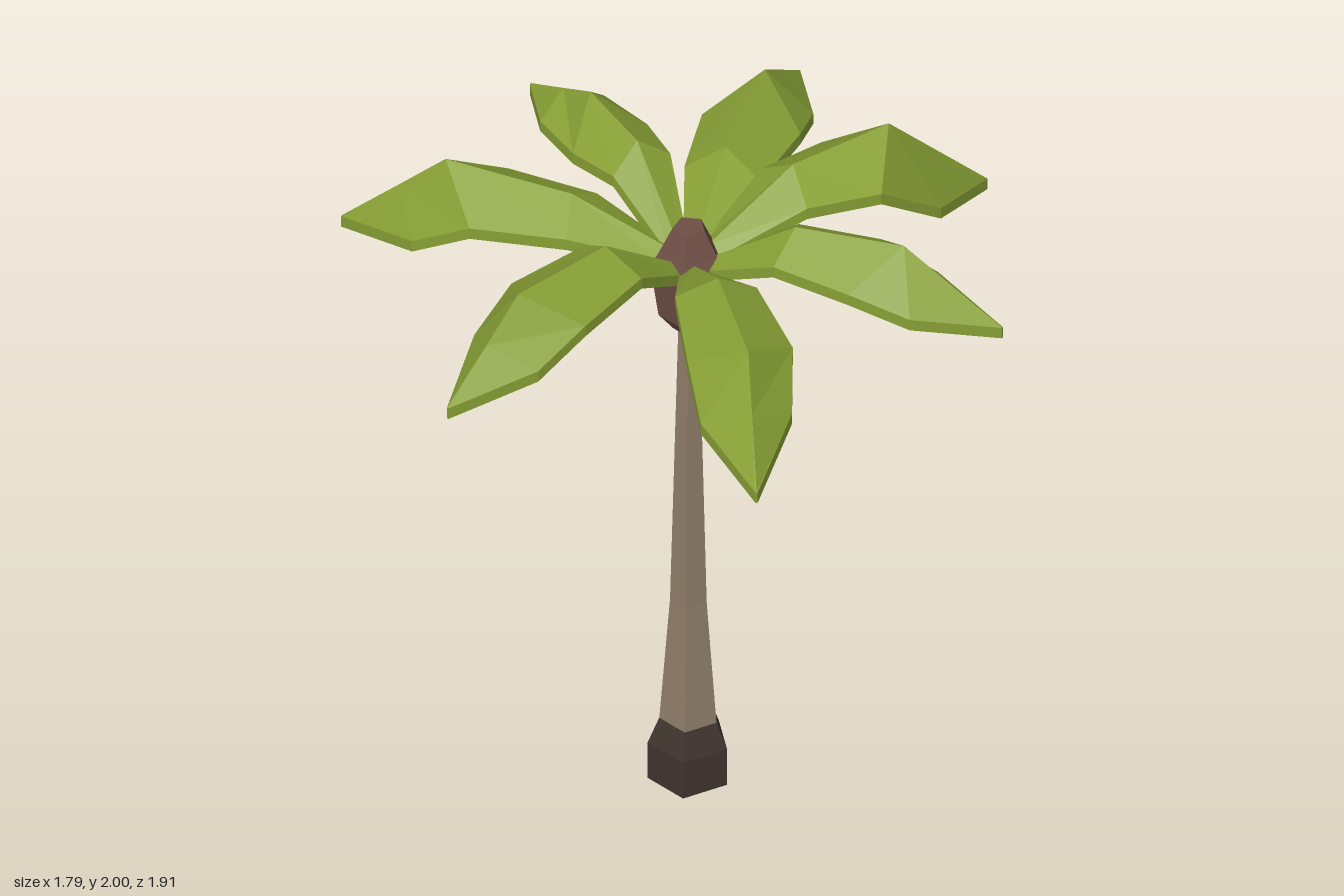
import * as THREE from 'three';

const AXIS_X = 0.053; // trunk axis
const THICK = 0.035; // leaf thickness

const material = (color) => new THREE.MeshStandardMaterial({ color, flatShading: true });

// Five-sided turned part from [radius, height] pairs, listed bottom to top
function turned(name, profile, mat) {
  const points = profile.map(([r, y]) => new THREE.Vector2(r, y));
  const mesh = new THREE.Mesh(new THREE.LatheGeometry(points, 5, Math.PI / 5 - 0.05), mat);
  mesh.name = name;
  mesh.position.x = AXIS_X;
  return mesh;
}

// Folded leaf: rises from the crown, peaks at mid, then droops to the tip
function frondGeometry(tip, mid) {
  const root = new THREE.Vector3(AXIS_X, 1.73, 0);
  const dx = tip.x - root.x, dz = tip.z - root.z;
  const length = Math.hypot(dx, dz);
  const u = new THREE.Vector3(dx / length, 0, dz / length);
  const v = new THREE.Vector3(u.z, 0, -u.x);
  const midAt = mid.clone().sub(root).dot(u) / length;

  const inner = root.clone().lerp(mid, 0.34 / midAt).setY(mid.y - 0.015);
  const base = root.clone().addScaledVector(u, 0.06).setY(1.77);
  const outer = mid.clone().lerp(tip, 0.45);

  // spine point, edge distance along the leaf, half width, edge height
  const sections = [
    [base, 0.07, 0.04, 1.75],
    [inner, 0.31, 0.112, mid.y - 0.085],
    [mid, midAt - 0.125, 0.145, mid.y - 0.1],
    [outer, 0.75, 0.125, tip.y + 0.25 * (mid.y - tip.y)],
    [tip, 1, 0.003, tip.y],
  ];

  const positions = [], index = [];
  sections.forEach(([spine, along, half, edgeY], s) => {
    const edge = (side) => {
      const p = root.clone().addScaledVector(u, along * length);
      // edges follow the sideways offset of the spine
      const drift = spine.clone().sub(root).dot(v);
      return p.addScaledVector(v, drift + side * half * (0.25 + 0.75 * length)).setY(edgeY);
    };
    const top = [edge(1), spine, edge(-1)];
    const under = top.map((p) => p.clone().setY(p.y - THICK)).reverse();
    for (const p of [...top, ...under]) positions.push(p.x, p.y, p.z);
    if (s === 0) return;
    for (let i = 0; i < 6; i++) {
      const a = (s - 1) * 6 + i, b = (s - 1) * 6 + ((i + 1) % 6);
      index.push(a, b, b + 6, a, b + 6, a + 6);
    }
  });
  // end caps
  const last = (sections.length - 1) * 6;
  for (let i = 1; i < 5; i++) {
    index.push(0, i + 1, i);
    index.push(last, last + i, last + i + 1);
  }

  const geometry = new THREE.BufferGeometry();
  geometry.setAttribute('position', new THREE.Float32BufferAttribute(positions, 3));
  geometry.setIndex(index);
  geometry.computeVertexNormals();
  return geometry;
}

export function createModel() {
  const palm = new THREE.Group();
  palm.name = 'palmTree';

  palm.add(turned('trunkBase',
    [[0, 0], [0.115, 0], [0.115, 0.12], [0.083, 0.2], [0, 0.2]], material(0x40352f)));
  palm.add(turned('trunk',
    [[0.083, 0.195], [0.053, 0.6], [0.03, 1.53]], material(0x8f7d6a)));
  palm.add(turned('crown',
    [[0, 1.52], [0.045, 1.52], [0.085, 1.57], [0.108, 1.74], [0.085, 1.78], [0.046, 1.86], [0, 1.86]],
    material(0x6e4f45)));

  // Fronds: tip and highest spine point
  const leaf = material(0x88a035);
  const fronds = new THREE.Group();
  fronds.name = 'fronds';
  const layout = [
    [[0.015, 1.755, 0.95], [0.015, 1.98, 0.66]],
    [[0.85, 1.7, 0.625], [0.63, 1.95, 0.41]],
    [[0.89, 1.74, -0.34], [0.63, 1.95, -0.23]],
    [[0.29, 1.605, -0.955], [0.23, 1.95, -0.62]],
    [[-0.33, 1.705, -0.885], [-0.22, 1.91, -0.62]],
    [[-0.7, 1.86, -0.2], [-0.43, 2.0, -0.14]],
    [[-0.9, 1.62, 0.35], [-0.62, 1.89, 0.24]],
  ];
  layout.forEach(([tip, mid], i) => {
    const mesh = new THREE.Mesh(
      frondGeometry(new THREE.Vector3(...tip), new THREE.Vector3(...mid)), leaf);
    mesh.name = `frond${i + 1}`;
    fronds.add(mesh);
  });
  palm.add(fronds);
  return palm;
}
